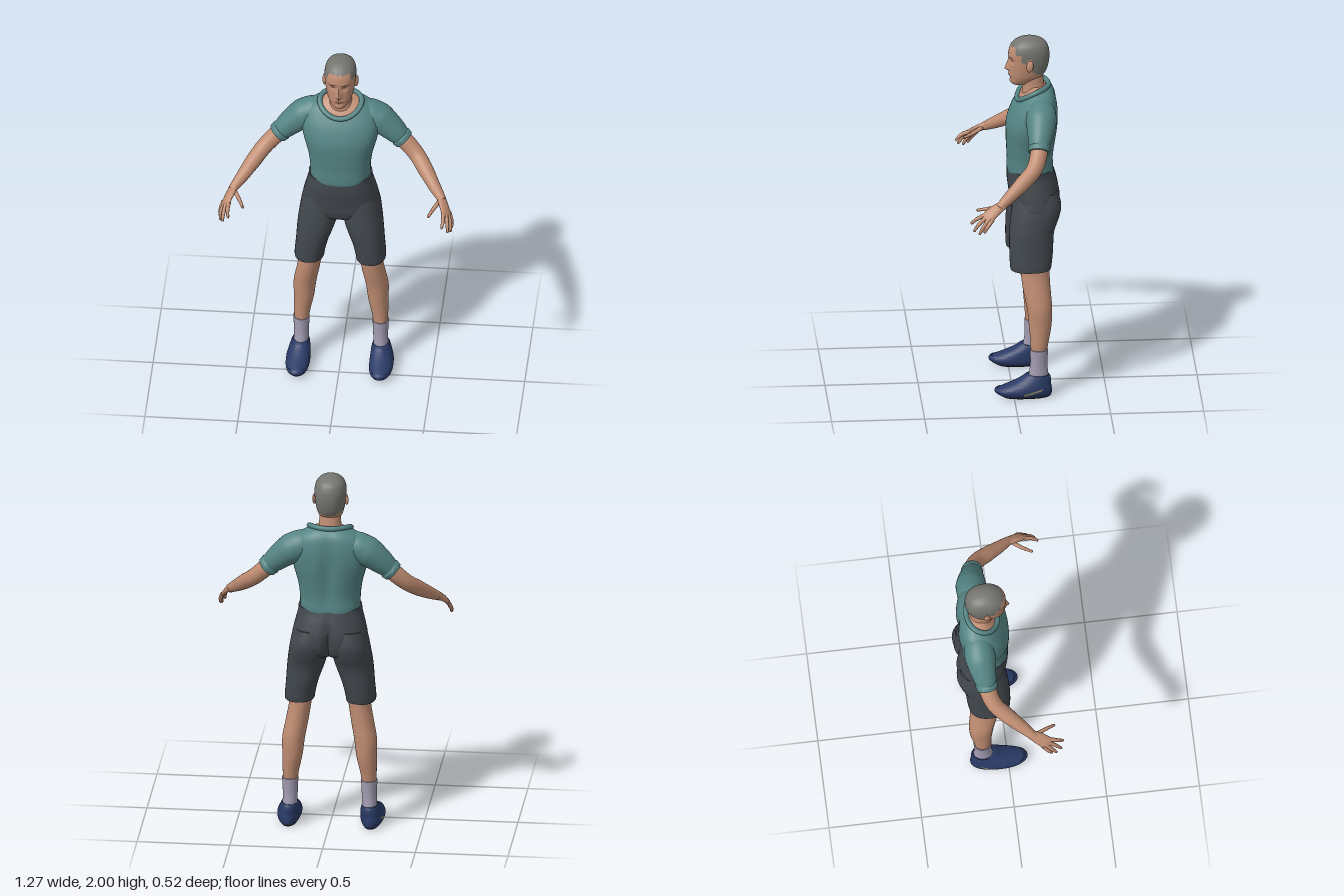
import * as THREE from 'three';
import { toCreasedNormals } from 'three/addons/utils/BufferGeometryUtils.js';

const V = (x, y, z) => new THREE.Vector3(x, y, z);
const bump = (a, w) => Math.exp(-((a / w) ** 2));
const spow = (a, e) => Math.sign(a) * Math.abs(a) ** e;

function mat(name, color) {
  const m = new THREE.MeshStandardMaterial({ color });
  m.name = name;
  return m;
}

// Smoothly interpolate columns of a profile between row i and i + 1
function blend(rows, i, f) {
  const at = (k) => rows[Math.min(Math.max(k, 0), rows.length - 1)];
  const [a, b, c, d] = [at(i - 1), at(i), at(i + 1), at(i + 2)];
  const h = c[0] - b[0];
  return b.map((p, k) => {
    const q = c[k];
    const m0 = (h * (q - a[k])) / (c[0] - a[0]), m1 = (h * (d[k] - p)) / (d[0] - b[0]);
    const f2 = f * f, f3 = f2 * f;
    return (2 * f3 - 3 * f2 + 1) * p + (f3 - 2 * f2 + f) * m0 + (3 * f2 - 2 * f3) * q + (f3 - f2) * m1;
  });
}

// Point on a rounded section; row = [y, centre x, half width, front z, back z]
function sectionPoint([y, cx, rx, zf, zb], t, power) {
  const e = 2 / power;
  return V(cx + rx * spow(Math.sin(t), e), y, (zf + zb) / 2 + ((zf - zb) / 2) * spow(Math.cos(t), e));
}

// Upright body part from horizontal sections, bottom to top
function loft(rows, { n = 40, sub = 5, power = 2.2, warp } = {}) {
  const rings = [];
  const ring = (r) => Array.from({ length: n }, (_, j) => {
    const p = sectionPoint(r, (j / n) * Math.PI * 2, power);
    if (warp) warp(p);
    return p;
  });
  const cap = ([y, cx, , zf, zb]) => Array.from({ length: n }, () => V(cx, y, (zf + zb) / 2));
  rings.push(cap(rows[0]));
  for (let i = 0; i < rows.length - 1; i++)
    for (let s = 0; s < sub; s++) rings.push(ring(blend(rows, i, s / sub)));
  const last = rows[rows.length - 1];
  rings.push(ring(last), cap(last));
  return rings;
}

// Limb along a curved path; row = [x, y, z, thickness, width along ref]
function limb(rows, { n = 20, sub = 5, ref = V(0, 0, 1), round = false } = {}) {
  const curve = new THREE.CatmullRomCurve3(rows.map((r) => V(r[0], r[1], r[2])));
  const steps = (rows.length - 1) * sub, rings = [];
  const ring = (c, t, ru, rv) => {
    const u = t.clone().cross(ref).normalize(), v = u.clone().cross(t);
    return Array.from({ length: n }, (_, j) => {
      const a = (j / n) * Math.PI * 2;
      return c.clone().addScaledVector(u, ru * Math.sin(a)).addScaledVector(v, rv * Math.cos(a));
    });
  };
  for (let k = 0; k <= steps; k++) {
    const i = Math.min(Math.floor(k / sub), rows.length - 2), f = k / sub - i;
    const c = curve.getPoint(k / steps), t = curve.getTangent(k / steps);
    const r = [3, 4].map((q) => THREE.MathUtils.lerp(rows[i][q] ?? rows[i][3], rows[i + 1][q] ?? rows[i + 1][3], f));
    if (k === 0) rings.push(ring(c, t, 0, 0));
    rings.push(ring(c, t, r[0], r[1]));
    if (k === steps) {
      if (round) rings.push(ring(c.clone().addScaledVector(t, r[0] * 0.6), t, r[0] * 0.75, r[1] * 0.75));
      rings.push(ring(c.clone().addScaledVector(t, round ? r[0] : 0), t, 0, 0));
    }
  }
  return rings;
}

const mirror = (rings) => rings.map((r) => r.map((p) => V(-p.x, p.y, p.z)).reverse());

// Mesh from rings; pick(centre) chooses the material of each face
function build(name, rings, mats, pick = () => 0) {
  const list = [].concat(mats), n = rings[0].length, faces = list.map(() => []);
  const tri = (a, b, c) => {
    if (a.distanceTo(b) < 1e-7 || b.distanceTo(c) < 1e-7 || a.distanceTo(c) < 1e-7) return;
    const m = a.clone().add(b).add(c).divideScalar(3);
    faces[pick(m)].push(...a, ...b, ...c);
  };
  for (let i = 0; i < rings.length - 1; i++)
    for (let j = 0; j < n; j++) {
      const k = (j + 1) % n, [lo, hi] = [rings[i], rings[i + 1]];
      tri(lo[j], lo[k], hi[k]);
      tri(lo[j], hi[k], hi[j]);
    }
  let g = new THREE.BufferGeometry();
  g.setAttribute('position', new THREE.Float32BufferAttribute(faces.flat(), 3));
  g = toCreasedNormals(g, 1.0);
  let start = 0;
  faces.forEach((f, i) => { g.addGroup(start, f.length / 3, i); start += f.length / 3; });
  const mesh = new THREE.Mesh(g, list.length > 1 ? list : list[0]);
  mesh.name = name;
  return mesh;
}

export function createModel() {
  const model = new THREE.Group();
  model.name = 'standingMan';
  const skin = mat('skin', 0xc08d72), hair = mat('grey hair', 0x757570), shirt = mat('teal shirt', 0x558484);
  const shorts = mat('charcoal shorts', 0x41474d), sock = mat('lilac sock', 0xa29cb2), shoe = mat('navy shoe', 0x293a66);
  const sole = mat('dark sole', 0x202329), trim = mat('shoe trim', 0x8f8760);
  const dark = mat('brow and eye', 0x46362e), lip = mat('lip', 0x945f50);
  const add = (...a) => model.add(build(...a));
  const pair = (name, rings, ...rest) => {
    add('left' + name, rings, ...rest);
    add('right' + name, mirror(rings), ...rest);
  };

  // Head with nose, brow, eye sockets, lips and chin
  const headRows = [
    [1.727, 0, .022, -.014, -.06], [1.735, 0, .036, -.003, -.1], [1.75, 0, .05, .003, -.135],
    [1.775, 0, .064, .006, -.165], [1.8, 0, .072, .008, -.185], [1.83, 0, .078, .008, -.197],
    [1.87, 0, .083, .009, -.205], [1.91, 0, .085, .013, -.206], [1.94, 0, .082, .007, -.2],
    [1.965, 0, .072, -.008, -.187], [1.985, 0, .052, -.035, -.16], [1.995, 0, .03, -.06, -.13],
    [2, 0, .004, -.091, -.099]];
  const face = (p) => {
    if (p.z < -.06) return;
    const ax = Math.abs(p.x), { y } = p;
    const slope = y > 1.817 ? THREE.MathUtils.clamp((1.892 - y) / .075, 0, 1) : bump(y - 1.817, .009);
    p.z += .028 * slope * bump(p.x, .008 + .006 * slope)
      - .011 * bump(ax - .032, .017) * bump(y - 1.872, .013)
      + .004 * bump(ax - .03, .03) * bump(y - 1.897, .01)
      + .006 * bump(p.x, .024) * bump(y - 1.788, .014)
      - .004 * bump(p.x, .03) * bump(y - 1.768, .007)
      + .005 * bump(p.x, .025) * bump(y - 1.746, .013);
  };
  const hairline = ({ x, y, z }) => {
    const wave = .004 * Math.sin(x * 210 + z * 160);
    const edge = z > -.02 ? 1.953 : z > -.05 ? 1.918 : z > -.078 ? 1.872 : z > -.112 ? 1.892 : 1.815 + (z + .112) * .35;
    return y > edge + wave ? 1 : 0;
  };
  add('head', loft(headRows, { n: 96, sub: 6, power: 2.25, warp: face }), [skin, hair], hairline);

  // Thin facial details laid onto the face surface
  const faceZ = (x, y) => {
    const i = Math.max(0, headRows.findIndex((r) => r[0] > y) - 1);
    const r = blend(headRows, i, (y - headRows[i][0]) / (headRows[i + 1][0] - headRows[i][0]));
    const p = sectionPoint(r, Math.asin(spow(x / r[2], 1.125)), 2.25);
    p.x = x;
    face(p);
    return p.z;
  };
  const patch = (name, x, y, w, h, tilt, m) => {
    const g = new THREE.RingGeometry(.001, 1, 20, 3), a = g.attributes.position;
    for (let i = 0; i < a.count; i++) {
      const px = x + a.getX(i) * w, py = y + a.getY(i) * h + a.getX(i) * tilt;
      a.setXYZ(i, px, py, faceZ(px, py) + .002);
    }
    g.computeVertexNormals();
    const mesh = new THREE.Mesh(g, m);
    mesh.name = name;
    model.add(mesh);
  };
  for (const [side, s] of [['left', 1], ['right', -1]]) {
    patch(side + 'Brow', s * .034, 1.894, .019, .0035, s * -.002, dark);
    patch(side + 'Eye', s * .032, 1.872, .012, .0035, 0, dark);
    const ear = new THREE.Mesh(new THREE.SphereGeometry(1, 16, 12), skin);
    ear.name = side + 'Ear';
    ear.scale.set(.01, .032, .019);
    ear.position.set(s * .086, 1.858, -.096);
    ear.rotation.set(-.15, s * -.35, 0);
    model.add(ear);
  }
  patch('mouth', 0, 1.787, .024, .006, 0, lip);

  add('neck', loft([[1.62, 0, .09, -.06, -.2], [1.68, 0, .07, -.06, -.187], [1.73, 0, .06, -.06, -.178],
    [1.78, 0, .057, -.05, -.172]]), skin);

  // Shirt body with a spine groove and bare skin inside the neckline
  const torsoRows = [
    [1.2, 0, .15, .005, -.205], [1.24, 0, .16, .022, -.226], [1.32, 0, .163, .023, -.225],
    [1.4, 0, .174, .027, -.235], [1.5, 0, .2, .026, -.248], [1.58, 0, .21, 0, -.25],
    [1.64, 0, .196, -.035, -.244], [1.68, 0, .163, -.063, -.233], [1.71, 0, .112, -.088, -.212],
    [1.725, 0, .07, -.1, -.19]];
  const spine = (p) => {
    if (p.z < -.12) p.z += .022 * bump(p.x, .035) * bump(p.y - 1.47, .17);
  };
  add('shirtBody', loft(torsoRows, { n: 64, sub: 6, power: 2.4, warp: spine }), [shirt, skin],
    (p) => (p.y > 1.6 && (p.x / .11) ** 2 + ((p.z + .115) / .083) ** 2 < 1 ? 1 : 0));

  // Collar ring, low at the front
  const collarPath = Array.from({ length: 24 }, (_, i) => {
    const a = (i / 24) * Math.PI * 2, c = Math.cos(a);
    return V(.113 * Math.sin(a), 1.6975 - .04 * c - .0125 * Math.cos(2 * a), -.116 + .084 * c);
  });
  const collar = new THREE.Mesh(
    new THREE.TubeGeometry(new THREE.CatmullRomCurve3(collarPath, true), 64, .014, 10, true), shirt);
  collar.name = 'collar';
  model.add(collar);

  // Sleeves with a raised hem, then bare arms
  pair('Sleeve', limb([[.11, 1.63, -.145, .07], [.155, 1.612, -.15, .08], [.205, 1.585, -.148, .083],
    [.262, 1.54, -.14, .071], [.305, 1.5, -.132, .06], [.318, 1.487, -.13, .055],
    [.323, 1.482, -.129, .06], [.34, 1.465, -.126, .056]], { n: 32 }), shirt);
  pair('Arm', limb([[.29, 1.515, -.13, .044], [.345, 1.46, -.125, .047], [.41, 1.395, -.095, .044],
    [.465, 1.34, -.03, .042], [.52, 1.285, .045, .033], [.555, 1.253, .09, .025], [.565, 1.243, .105, .023]]), skin);

  // Hands
  const across = V(.52, -.31, -.79).normalize();
  pair('Palm', limb([[.552, 1.257, .08, .02, .025], [.575, 1.23, .13, .016, .034], [.593, 1.2, .168, .013, .037],
    [.598, 1.19, .18, .007, .031]], { ref: across, round: true }), skin);
  const fingers = {
    IndexFinger: [[.576, 1.212, .178], [.58, 1.192, .222], [.575, 1.165, .253]],
    MiddleFinger: [[.587, 1.206, .168], [.602, 1.168, .215], [.605, 1.133, .24]],
    RingFinger: [[.598, 1.2, .156], [.616, 1.156, .192], [.619, 1.121, .212]],
    LittleFinger: [[.607, 1.194, .143], [.622, 1.156, .172], [.624, 1.131, .187]],
    Thumb: [[.552, 1.243, .112], [.522, 1.223, .165], [.499, 1.208, .215]],
  };
  for (const [name, pts] of Object.entries(fingers))
    pair(name, limb(pts.map((p, i) => [...p, [.012, .0105, .0075][i]]), { n: 12, round: true }), skin);

  // Shorts: hips with a rear cleft, plus two legs
  const cleft = (p) => {
    if (p.z < -.12) p.z += .04 * bump(p.x, .022) * bump(p.y - 1.05, .1);
  };
  add('shortsHips', loft([[.965, 0, .03, -.08, -.15], [.99, 0, .13, -.02, -.22], [1.03, 0, .205, .004, -.25],
    [1.1, 0, .203, .012, -.26], [1.18, 0, .185, .022, -.245], [1.23, 0, .172, .022, -.23],
    [1.258, 0, .17, .018, -.222]], { n: 72, power: 2.4, warp: cleft }), shorts);
  pair('ShortsLeg', loft([[.72, .165, .08, .014, -.202], [.74, .164, .081, .017, -.206], [.82, .151, .087, .02, -.215],
    [.92, .13, .101, .018, -.222], [1, .115, .106, .01, -.25], [1.06, .107, .103, .002, -.262],
    [1.14, .1, .085, -.01, -.245]], { power: 2.3 }), shorts);

  // Lower legs and socks
  pair('Leg', loft([[.24, .212, .038, -.092, -.175], [.3, .21, .043, -.09, -.185], [.4, .2, .054, -.082, -.203],
    [.5, .194, .061, -.072, -.207], [.6, .176, .061, -.052, -.2], [.7, .16, .06, -.04, -.195],
    [.78, .155, .065, -.03, -.195]], { power: 2 }), skin);
  pair('Sock', loft([[.05, .215, .04, -.07, -.19], [.12, .214, .04, -.08, -.186], [.18, .213, .04, -.088, -.18],
    [.268, .213, .044, -.087, -.185]], { power: 2 }), sock);

  // Shoes with a dark sole and side trim
  const shoePick = ({ x, y, z }) => {
    if (y < .012) return 1;
    const line = .026 + (-.05 - z) * .28;
    return Math.abs(x) > .23 && z < -.05 && z > -.15 && Math.abs(y - line) < .005 ? 2 : 0;
  };
  const toeLift = (p) => { p.y += .012 * THREE.MathUtils.smoothstep(p.z, .02, .11) * (p.y < .05 ? 1 : 0.3); };
  pair('Shoe', loft([[0, .222, .045, .065, -.19], [.012, .223, .055, .092, -.2], [.03, .224, .064, .105, -.204],
    [.05, .224, .064, .086, -.203], [.07, .222, .06, .042, -.2], [.09, .219, .055, -.005, -.2],
    [.11, .217, .049, -.042, -.197], [.124, .216, .043, -.06, -.19]], { n: 64, sub: 6, power: 2.2, warp: toeLift }),
  [shoe, sole, trim], shoePick);

  return model;
}
